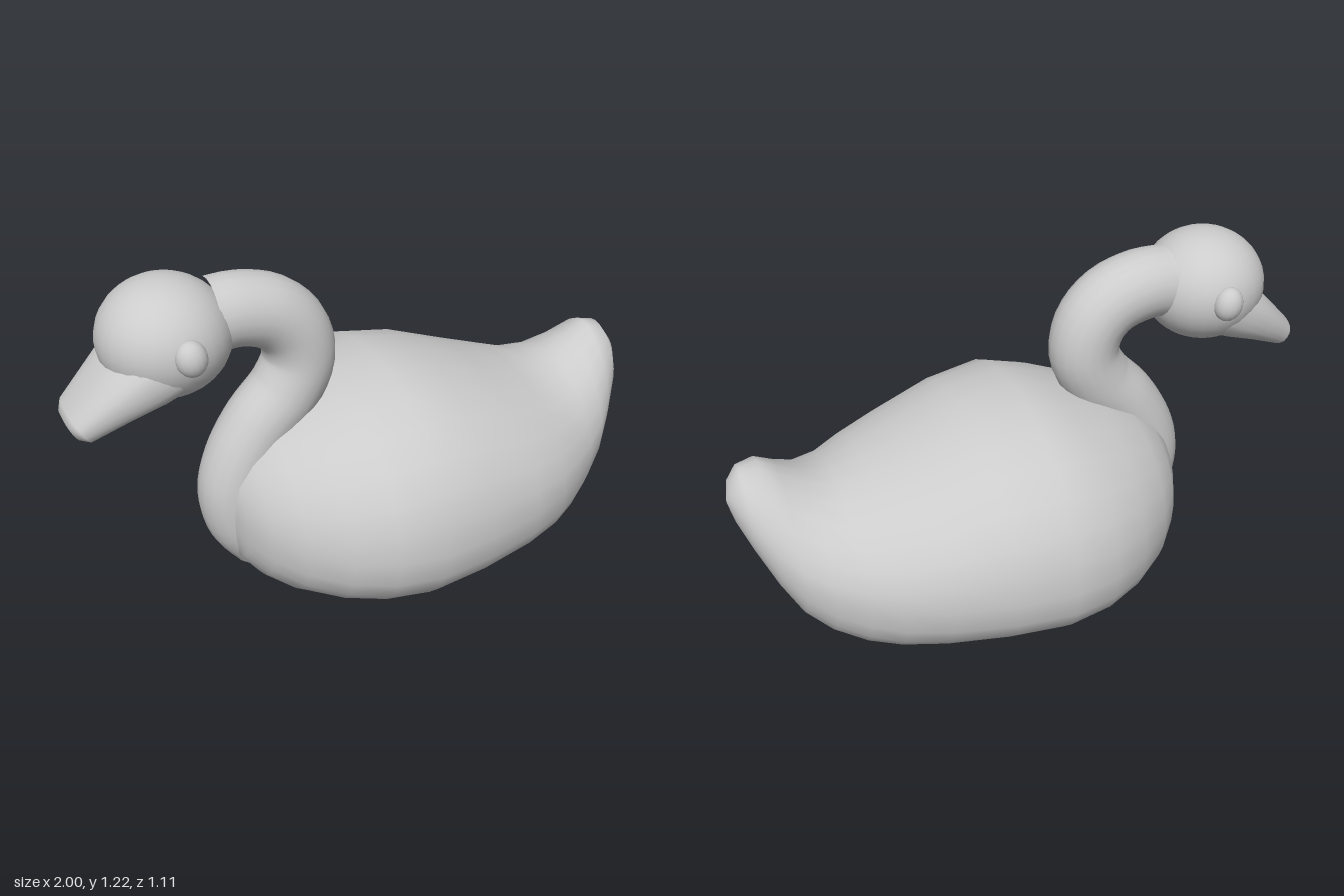
import * as THREE from 'three';

const SIDES = 28;
const CZ = 0.012; // the neck and head sit slightly off the body's centre line

// Skin a list of rings (each with SIDES points) running towards +x
function loft(rings) {
  const pos = rings.flat().flatMap((p) => [p.x, p.y, p.z]);
  const index = [];
  for (let i = 0; i < rings.length - 1; i++) {
    for (let j = 0; j < SIDES; j++) {
      const k = (j + 1) % SIDES;
      const a = i * SIDES + j, b = a + SIDES, c = i * SIDES + k, d = c + SIDES;
      index.push(a, b, c, b, d, c);
    }
  }
  const g = new THREE.BufferGeometry();
  g.setAttribute('position', new THREE.Float32BufferAttribute(pos, 3));
  g.setIndex(index);
  g.computeVertexNormals();
  return g;
}

// Superellipse ordinate: n = 2 round, larger is boxier, smaller is peaked
const bend = (v, n) => Math.sign(v) * Math.pow(Math.abs(v), 2 / n);

// Body stations: x, bottom, top, height of widest point, half width, upper exponent
const BODY = [
  [-0.535, 0.38, 0.381, 0.38, 0.002, 2],
  [-0.525, 0.27, 0.47, 0.37, 0.1, 2],
  [-0.5, 0.18, 0.53, 0.36, 0.19, 2],
  [-0.45, 0.125, 0.59, 0.35, 0.285, 2],
  [-0.37, 0.08, 0.655, 0.34, 0.38, 2],
  [-0.25, 0.045, 0.71, 0.33, 0.47, 2.05],
  [-0.12, 0.02, 0.755, 0.33, 0.53, 2.1],
  [0.03, 0.005, 0.8, 0.33, 0.555, 2.1],
  [0.22, 0.015, 0.765, 0.33, 0.535, 2.1],
  [0.42, 0.03, 0.69, 0.33, 0.49, 2.05],
  [0.56, 0.04, 0.645, 0.33, 0.435, 2],
  [0.66, 0.055, 0.62, 0.335, 0.375, 1.9],
  [0.75, 0.1, 0.64, 0.35, 0.315, 1.75],
  [0.83, 0.18, 0.685, 0.39, 0.26, 1.65],
  [0.89, 0.295, 0.72, 0.45, 0.205, 1.7],
  [0.95, 0.44, 0.705, 0.54, 0.14, 1.8],
  [0.985, 0.53, 0.655, 0.59, 0.075, 2],
  [1.0, 0.59, 0.602, 0.596, 0.004, 2],
];

function bodyRing([x, bottom, top, mid, w, n]) {
  return Array.from({ length: SIDES }, (_, j) => {
    const t = (j / SIDES) * Math.PI * 2, s = Math.sin(t), c = Math.cos(t);
    const e = s >= 0 ? n : 2.4;
    const h = s >= 0 ? top - mid : mid - bottom;
    return new THREE.Vector3(x, mid + h * bend(s, e), w * bend(c, e));
  });
}

// Bill stations, tip to base: centre x, centre y, half height, half width
const BILL = [
  [-0.985, 0.805, 0.001, 0.001],
  [-0.982, 0.806, 0.033, 0.085],
  [-0.96, 0.817, 0.054, 0.118],
  [-0.86, 0.885, 0.08, 0.152],
  [-0.76, 0.95, 0.108, 0.185],
  [-0.66, 1.0, 0.12, 0.19],
];

function billRing([x, y, h, w]) {
  return Array.from({ length: SIDES }, (_, j) => {
    const t = (j / SIDES) * Math.PI * 2;
    const s = h * bend(Math.sin(t), 2.4);
    return new THREE.Vector3(x - 0.55 * s, y + 0.835 * s, CZ + w * bend(Math.cos(t), 2.4));
  });
}

export function createModel() {
  const group = new THREE.Group();
  const material = new THREE.MeshStandardMaterial({ color: 0xcccccc });
  const add = (name, geometry) => {
    const mesh = new THREE.Mesh(geometry, material);
    mesh.name = name;
    group.add(mesh);
    return mesh;
  };

  // Plump body rising into a pointed tail
  add('body', loft(BODY.map(bodyRing)));

  // S-shaped neck, running from the back of the head down into the breast
  const path = [
    [-0.52, 1.07], [-0.43, 1.07], [-0.32, 1.035], [-0.25, 0.96], [-0.232, 0.86],
    [-0.28, 0.755], [-0.38, 0.645], [-0.45, 0.53], [-0.48, 0.42], [-0.46, 0.3], [-0.39, 0.2],
  ].map(([x, y]) => new THREE.Vector3(x, y, CZ));
  add('neck', new THREE.TubeGeometry(new THREE.CatmullRomCurve3(path), 40, 0.119, 20));

  // Head
  const head = add('head', new THREE.SphereGeometry(1, 28, 20));
  head.scale.set(0.208, 0.188, 0.208);
  head.position.set(-0.665, 1.037, CZ);

  // Bill, wide and flattened, sloping down from the face
  add('bill', loft(BILL.map(billRing)));

  // Bulging eyes
  for (const side of [1, -1]) {
    const eye = add(side > 0 ? 'frontEye' : 'backEye', new THREE.SphereGeometry(1, 16, 12));
    eye.scale.set(0.049, 0.058, 0.045);
    eye.position.set(-0.648, 1.05, CZ + side * 0.202);
    eye.rotation.z = 0.15;
  }
  return group;
}
